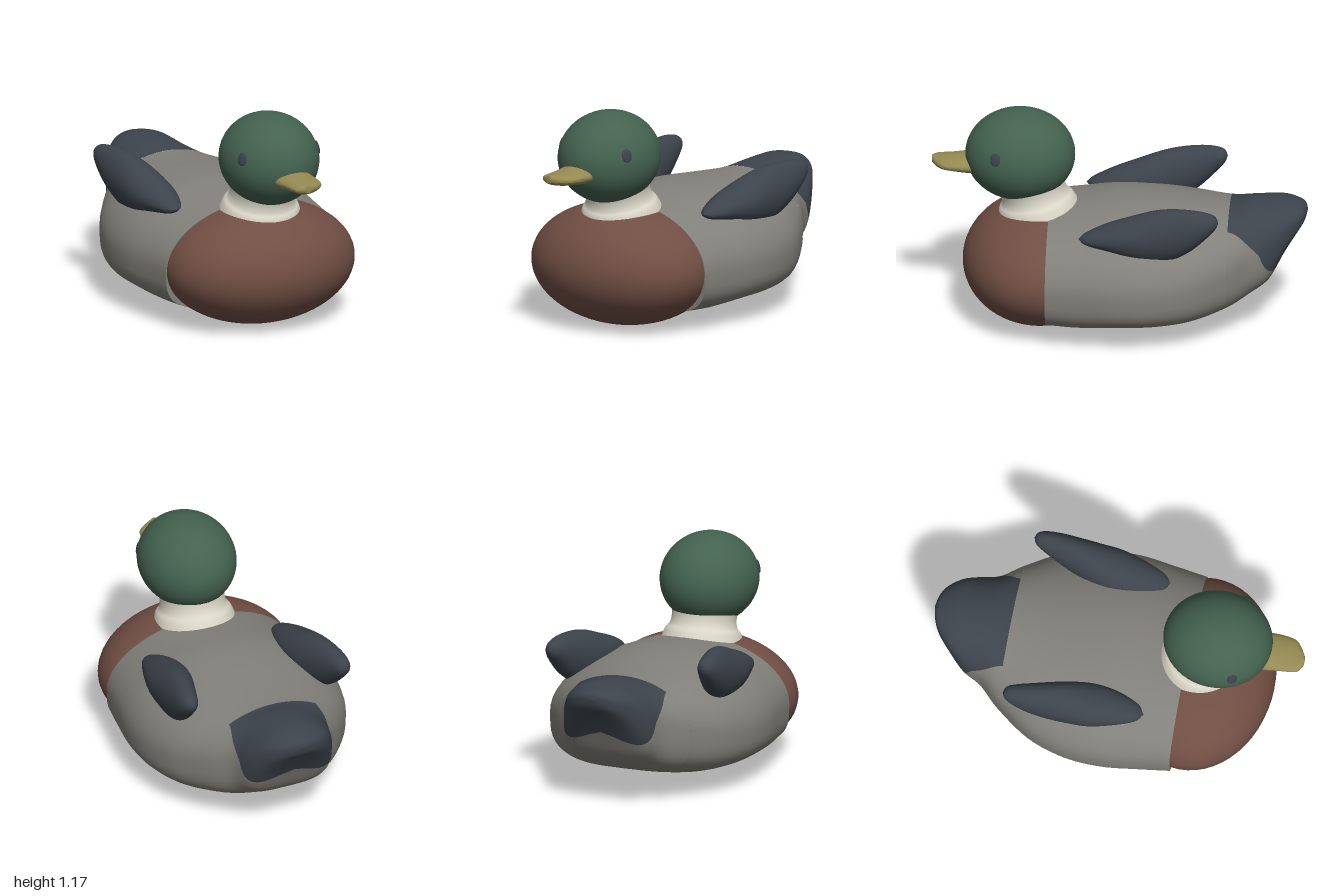
import * as THREE from 'three';
import { toCreasedNormals } from 'three/addons/utils/BufferGeometryUtils.js';

const mat = (name, color) => {
  const m = new THREE.MeshStandardMaterial({ color });
  m.name = name;
  return m;
};

// Smooth skin through cross-sections, ordered from high z to low z.
// Each row: [z, centre x, half width, top, mid height, bottom, tail half angle]
function loft(rows, o = {}) {
  const { t0 = 0, t1 = rows.length - 1, lower = 2, cap = false, steps = 6, seg = 56 } = o;
  const range = o.range || (() => [0, Math.PI * 2]);
  const size = rows[0].length;
  const spline = new THREE.CubicInterpolant(
    new Float32Array(rows.map((_, i) => i)), new Float32Array(rows.flat()), size);
  const pow = (v, n) => Math.sign(v) * Math.abs(v) ** (2 / n);
  const pos = [], index = [];
  const count = (t1 - t0) * steps;
  const ring = (t, shrink) => {
    const [z, cx, w, top, mid, bottom, a = 0] = spline.evaluate(t);
    const [from, to] = range(Math.min(a, Math.PI));
    for (let j = 0; j <= seg; j++) {
      const th = from + (to - from) * j / seg;
      const s = Math.sin(th), n = s < 0 ? lower : 2;
      const h = s < 0 ? mid - bottom : top - mid;
      pos.push(cx + shrink * w * pow(Math.cos(th), n), mid + shrink * h * pow(s, n), z);
    }
  };
  if (cap) ring(t0, 0);
  for (let i = 0; i <= count; i++) ring(t0 + i / steps, 1);
  const row = seg + 1, rings = pos.length / 3 / row;
  for (let i = 0; i < rings - 1; i++) {
    for (let j = 0; j < seg; j++) {
      const a = i * row + j;
      index.push(a, a + row, a + 1, a + 1, a + row, a + row + 1);
    }
  }
  const g = new THREE.BufferGeometry();
  g.setAttribute('position', new THREE.Float32BufferAttribute(pos, 3));
  g.setIndex(index);
  return toCreasedNormals(g, 0.9);
}

export function createModel() {
  const group = new THREE.Group();
  const green = mat('head green', 0x43624f);
  const brown = mat('breast brown', 0x704e43);
  const grey = mat('body grey', 0x82807a);
  const slate = mat('wing slate', 0x3c434b);
  const cream = mat('neck cream', 0xd8d4c6);
  const yellow = mat('bill yellow', 0x958a52);

  const add = (name, geometry, material) => {
    const m = new THREE.Mesh(geometry, material);
    m.name = name;
    group.add(m);
    return m;
  };
  const ellipsoid = (name, material, center, radii) => {
    const m = add(name, new THREE.SphereGeometry(1, 56, 40), material);
    m.position.set(...center);
    m.scale.set(...radii);
    return m;
  };

  // Body and tail share one set of sections and split along the tail patch
  const bodyRows = [
    [0.37, 0, 0.536, 0.65, 0.325, 0.08, 0.7],
    [0.2, 0, 0.56, 0.668, 0.33, 0.075, 0.7],
    [0, 0, 0.585, 0.69, 0.33, 0.09, 0.7],
    [-0.2, 0, 0.572, 0.685, 0.335, 0.095, 0.7],
    [-0.4, 0, 0.51, 0.67, 0.36, 0.11, 0.7],
    [-0.585, 0, 0.39, 0.665, 0.4, 0.155, 0.7],
    [-0.7, 0, 0.29, 0.69, 0.44, 0.21, 1.2],
    [-0.8, 0, 0.25, 0.7, 0.49, 0.285, 1.9],
    [-0.88, 0, 0.2, 0.7, 0.57, 0.43, Math.PI],
    [-0.95, 0, 0.135, 0.685, 0.61, 0.54, Math.PI],
    [-0.985, 0, 0.07, 0.67, 0.635, 0.59, Math.PI],
    [-1, 0, 0, 0.64, 0.64, 0.64, Math.PI],
  ];
  const up = Math.PI / 2;
  add('body', loft(bodyRows, { t1: 5, lower: 3.5, cap: true }), grey);
  add('rump', loft(bodyRows, {
    t0: 5, t1: 8, lower: 3.5, range: a => [up + a, up + 2 * Math.PI - a],
  }), grey);
  add('tail', loft(bodyRows, { t0: 5, lower: 3.5, range: a => [up - a, up + a] }), slate);

  ellipsoid('breast', brown, [0, 0.325, 0.42], [0.535, 0.325, 0.415]);

  // Neck collar, leaning down toward the front
  const collar = [[0.23, -0.13], [0.205, -0.05], [0.182, -0.02], [0.173, 0.02], [0.178, 0.07], [0.195, 0.13]];
  const curve = new THREE.SplineCurve(collar.map(p => new THREE.Vector2(...p)));
  const neck = add('neck', new THREE.LatheGeometry(curve.getPoints(20), 56), cream);
  neck.position.set(0, 0.695, 0.455);
  neck.rotation.x = 0.22;

  // Head and bill
  const headCenter = [0, 0.923, 0.53], headRadii = [0.26, 0.248, 0.292];
  ellipsoid('head', green, headCenter, headRadii);
  add('bill', loft([
    [1, -0.02, 0.025, 0.893, 0.873, 0.855],
    [0.975, -0.015, 0.065, 0.896, 0.87, 0.842],
    [0.94, 0, 0.09, 0.9, 0.87, 0.836],
    [0.88, 0.005, 0.1, 0.907, 0.869, 0.83],
    [0.8, 0.002, 0.106, 0.918, 0.868, 0.82],
    [0.7, 0, 0.108, 0.922, 0.868, 0.816],
  ], { cap: true, seg: 32 }), yellow);

  // Paired eyes and wings
  for (const [side, s] of [['left', 1], ['right', -1]]) {
    const eye = ellipsoid(side + 'Eye', slate, [s * 0.229, 0.98, 0.65], [0.028, 0.036, 0.009]);
    eye.lookAt(s * 0.229 + s * 3.4, 0.98 + 0.9, 0.65 + 1.4);

    add(side + 'Wing', loft([
      [0.2, 0.378, 0, 0.6, 0.6, 0.6],
      [0.16, 0.374, 0.05, 0.632, 0.598, 0.57],
      [0.05, 0.375, 0.093, 0.685, 0.61, 0.54],
      [-0.08, 0.385, 0.115, 0.732, 0.625, 0.5],
      [-0.2, 0.397, 0.107, 0.775, 0.64, 0.49],
      [-0.3, 0.413, 0.092, 0.795, 0.66, 0.51],
      [-0.4, 0.43, 0.074, 0.8, 0.69, 0.57],
      [-0.48, 0.44, 0.055, 0.793, 0.72, 0.645],
      [-0.53, 0.443, 0.033, 0.775, 0.738, 0.7],
      [-0.548, 0.445, 0, 0.74, 0.74, 0.74],
    ].map(r => [r[0], s * r[1], ...r.slice(2)]), { seg: 40 }), slate);
  }
  return group;
}
